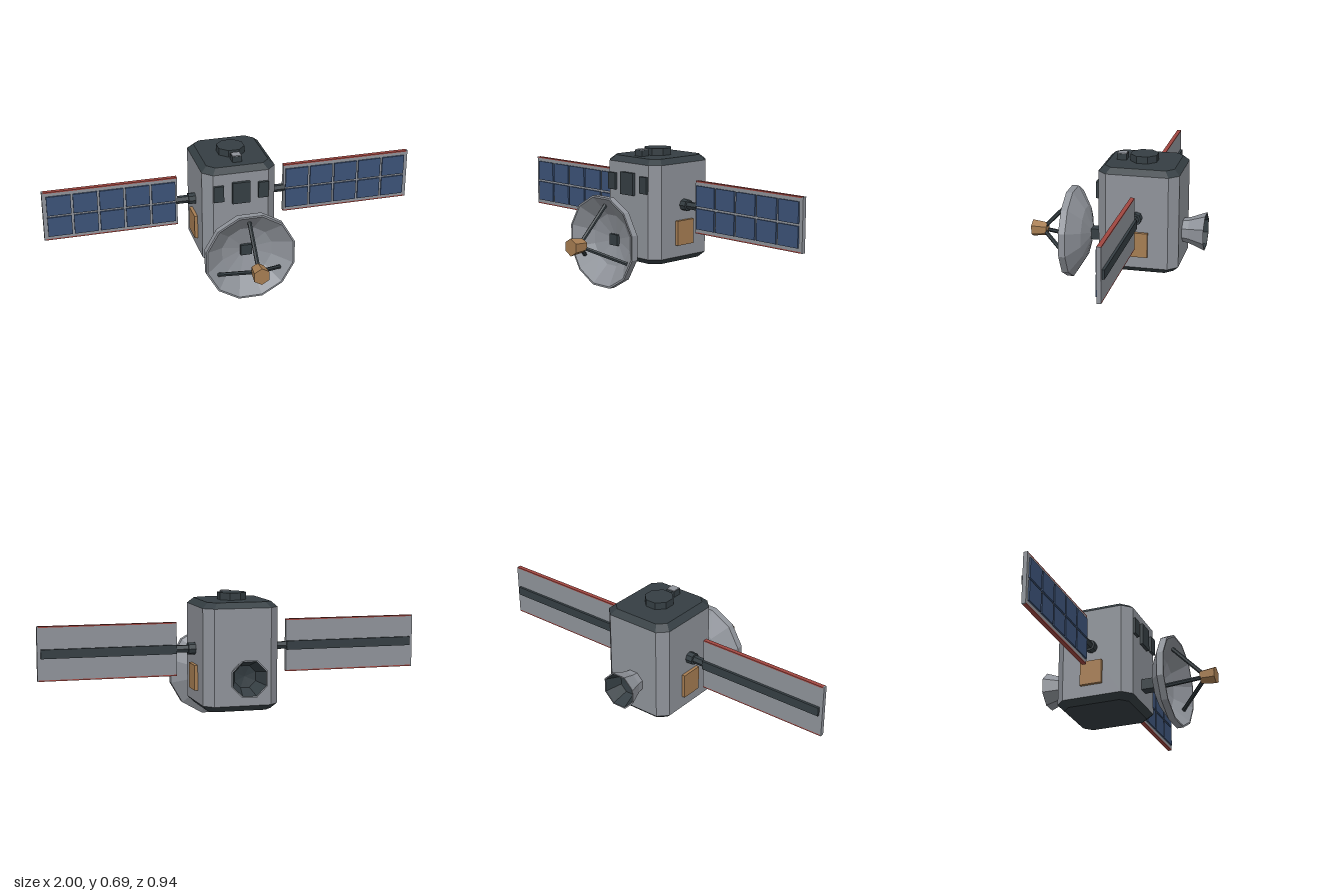
import * as THREE from 'three';
import { ConvexGeometry } from 'three/addons/geometries/ConvexGeometry.js';

const paint = (name, color) => {
  const m = new THREE.MeshStandardMaterial({ color, flatShading: true });
  m.name = name;
  return m;
};

export function createModel() {
  const grey = paint('hull grey', 0x8f939a);
  const dark = paint('dark metal', 0x353e43);
  const blue = paint('solar blue', 0x3c5378);
  const tan = paint('copper foil', 0xa67d52);
  const red = paint('red trim', 0xa04640);

  const root = new THREE.Group();
  root.name = 'satellite';
  const add = (name, geo, mat, x = 0, y = 0, z = 0, parent = root) => {
    const m = new THREE.Mesh(geo, mat);
    m.name = name;
    m.position.set(x, y, z);
    parent.add(m);
    return m;
  };
  const box = (name, w, h, d, mat, x, y, z, parent) =>
    add(name, new THREE.BoxGeometry(w, h, d), mat, x, y, z, parent);
  // Flat-sided lathe whose flats face the axes
  const lathe = (pts, sides) => {
    const k = 1 / Math.cos(Math.PI / sides);
    return new THREE.LatheGeometry(pts.map(([r, h]) => new THREE.Vector2(r * k, h)), sides, Math.PI / sides);
  };
  // Straight rod between two points
  const rod = (name, a, b, r, sides, mat, parent) => {
    const dir = b.clone().sub(a);
    const mid = a.clone().add(b).multiplyScalar(0.5);
    const m = add(name, new THREE.CylinderGeometry(r, r, dir.length(), sides), mat, mid.x, mid.y, mid.z, parent);
    m.quaternion.setFromUnitVectors(new THREE.Vector3(0, 1, 0), dir.normalize());
    return m;
  };

  // Hull: box with chamfered corners, closed by dark bevelled caps
  const ring = (y, inset) => {
    const w = 0.195 - inset, d = 0.21 - inset, c = 0.048 - inset * 0.3;
    const pts = [];
    for (const sx of [-1, 1]) for (const sz of [-1, 1]) {
      pts.push(new THREE.Vector3(sx * w, y, sz * (d - c)), new THREE.Vector3(sx * (w - c), y, sz * d));
    }
    return pts;
  };
  const loft = (y0, i0, y1, i1) => new ConvexGeometry([...ring(y0, i0), ...ring(y1, i1)]);
  const bodyZ = -0.14;
  add('hull', loft(0.135, 0, 0.627, 0), grey, 0, 0, bodyZ);
  add('topCap', loft(0.627, 0, 0.655, 0.03), dark, 0, 0, bodyZ);
  add('bottomCap', loft(0.105, 0.03, 0.135, 0), dark, 0, 0, bodyZ);

  // Roof hatch and sensor
  add('hatch', lathe([[0, 0], [0.069, 0], [0.069, 0.04], [0, 0.04]], 8), dark, 0, 0.652, bodyZ);
  box('sensor', 0.05, 0.034, 0.05, dark, 0, 0.67, -0.025);
  box('sensorPlate', 0.046, 0.004, 0.046, grey, 0, 0.689, -0.025);

  // Front instrument panels
  box('instrumentCentre', 0.094, 0.118, 0.02, dark, 0, 0.519, 0.077);
  for (const s of [-1, 1]) box('instrumentSide', 0.054, 0.088, 0.016, dark, s * 0.119, 0.522, 0.076);

  // Solar wings and side foil patches, one set per side
  const wingY = 0.4075;
  for (const s of [-1, 1]) {
    const side = s > 0 ? 'left' : 'right';
    const wing = new THREE.Group();
    wing.name = side + 'SolarWing';
    root.add(wing);
    box('foilPatch', 0.018, 0.13, 0.118, tan, s * 0.203, 0.263, bodyZ);

    const at = (x) => new THREE.Vector3(s * x, wingY, bodyZ);
    rod('wingHinge', at(0.19), at(0.232), 0.031, 8, dark, wing);
    rod('wingArm', at(0.23), at(0.3), 0.021, 6, dark, wing);

    box('wingPanel', 0.702, 0.262, 0.022, grey, s * 0.643, wingY, bodyZ, wing);
    box('wingTip', 0.008, 0.275, 0.022, grey, s * 0.996, wingY, bodyZ, wing);
    for (const v of [-1, 1]) {
      box('wingTrim', 0.702, 0.007, 0.022, red, s * 0.643, wingY + v * 0.134, bodyZ, wing);
    }
    box('wingSpar', 0.69, 0.046, 0.014, dark, s * 0.638, wingY, -0.157, wing);
    for (let i = 0; i < 5; i++) for (const v of [-1, 1]) {
      box('solarCell', 0.126, 0.108, 0.009, blue, s * (0.916 - i * 0.1375), wingY + v * 0.0595, -0.125, wing);
    }
  }

  // Dish antenna on its mount
  const dish = new THREE.Group();
  dish.name = 'dishAntenna';
  dish.position.y = 0.235;
  root.add(dish);
  box('dishMount', 0.058, 0.058, 0.115, dark, 0, 0, 0.1225, dish);
  add('dishBowl', lathe([
    [0, 0.14], [0.03, 0.14], [0.138, 0.17], [0.235, 0.23], [0.235, 0.265],
    [0.226, 0.265], [0.132, 0.19], [0.03, 0.163], [0, 0.163],
  ], 12).rotateX(Math.PI / 2), grey, 0, 0, 0, dish);
  for (let i = 0; i < 3; i++) {
    const a = Math.PI / 2 + i * Math.PI * 2 / 3, c = Math.cos(a), n = Math.sin(a);
    rod('feedStrut', new THREE.Vector3(c * 0.192, n * 0.192, 0.23),
      new THREE.Vector3(c * 0.02, n * 0.02, 0.395), 0.011, 6, dark, dish);
  }
  const feed = new THREE.CylinderGeometry(0.046, 0.036, 0.08, 6).rotateX(Math.PI / 2);
  add('feedHorn', feed, tan, 0, 0, 0.428, dish);

  // Rear engine nozzle with dark throat
  const back = -Math.PI / 2;
  add('nozzle', lathe([[0.058, 0], [0.063, 0.035], [0.0925, 0.119], [0.086, 0.119]], 8).rotateX(back),
    grey, 0, 0.29, -0.348);
  add('nozzleThroat', lathe([[0.086, 0.119], [0.055, 0.035], [0, 0.025]], 8).rotateX(back),
    dark, 0, 0.29, -0.348);

  return root;
}
